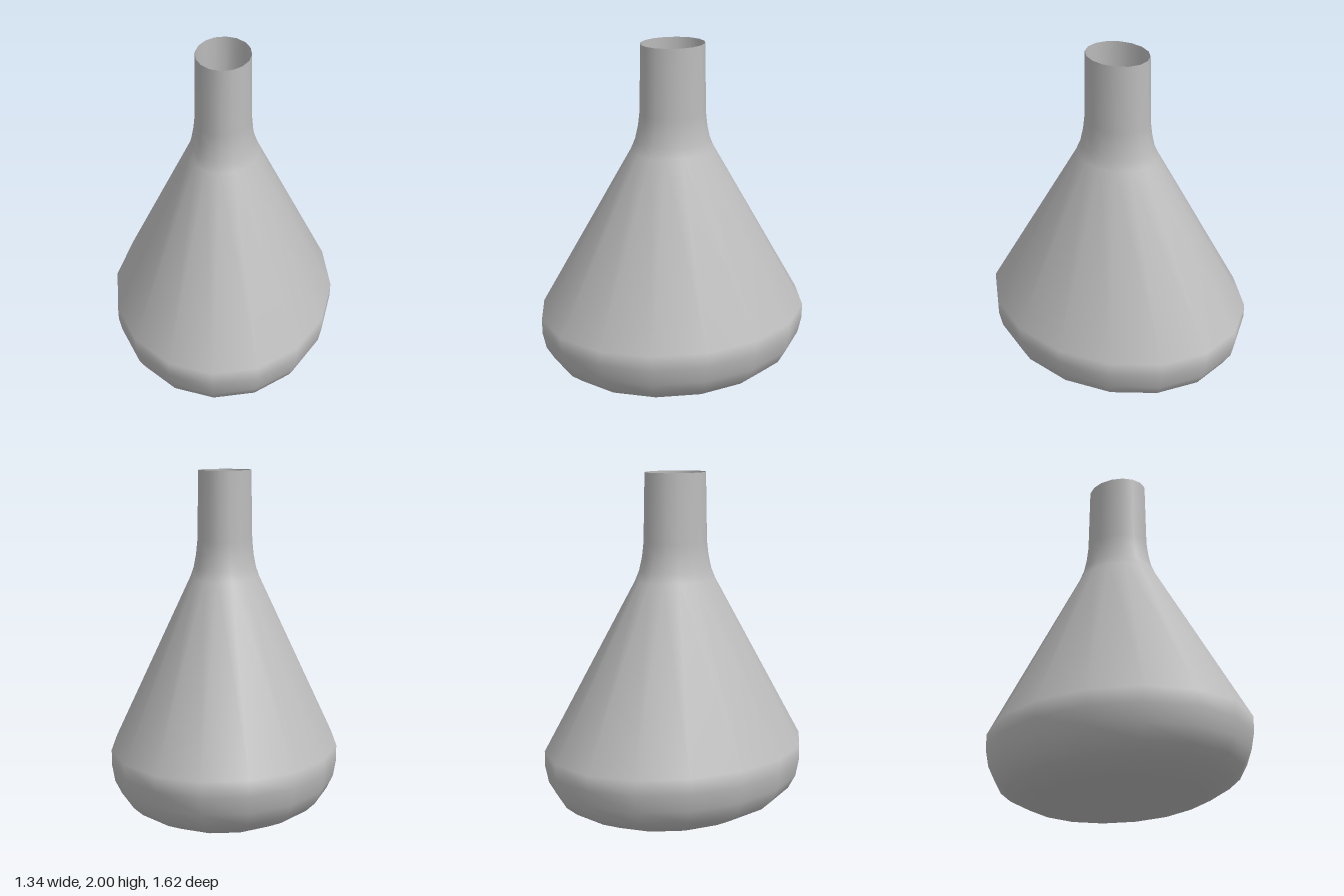
import * as THREE from 'three';

const SIDES = 16;
const DEPTH = 1.21; // oval plan: depth relative to width

// Oval body of revolution from [radius, height] pairs, listed bottom to top
function ovalLathe(profile) {
  const points = profile.map(([r, y]) => new THREE.Vector2(r, y));
  const geometry = new THREE.LatheGeometry(points, SIDES);
  geometry.scale(1, 1, DEPTH);
  return geometry;
}

export function createModel() {
  const model = new THREE.Group();
  model.name = 'flask';

  const glass = new THREE.MeshStandardMaterial({ color: 0xbcbcbc, side: THREE.DoubleSide });
  glass.name = 'grey glass';
  const red = new THREE.MeshStandardMaterial({ color: 0x6a1010 });
  red.name = 'dark red liquid';

  // Rounded foot and lower bowl
  const bowl = [
    [0, 0], [0.44, 0], [0.56, 0.065], [0.615, 0.12],
    [0.653, 0.2], [0.67, 0.3], [0.67, 0.39],
  ];
  // Sloping shoulder curving into the open neck
  const neck = [
    [0.205, 1.38], [0.184, 1.44], [0.169, 1.52], [0.161, 1.6], [0.154, 2],
  ];
  const shell = new THREE.Mesh(ovalLathe([...bowl, ...neck]), glass);
  shell.name = 'flaskShell';
  model.add(shell);

  // Liquid surface inside the flask, seen through the mouth
  const level = 0.8;
  const surface = new THREE.CircleGeometry(0.46, SIDES);
  surface.rotateX(-Math.PI / 2);
  surface.scale(1, 1, DEPTH);
  surface.translate(0, level, 0);
  const liquid = new THREE.Mesh(surface, red);
  liquid.name = 'liquidSurface';
  model.add(liquid);

  return model;
}
